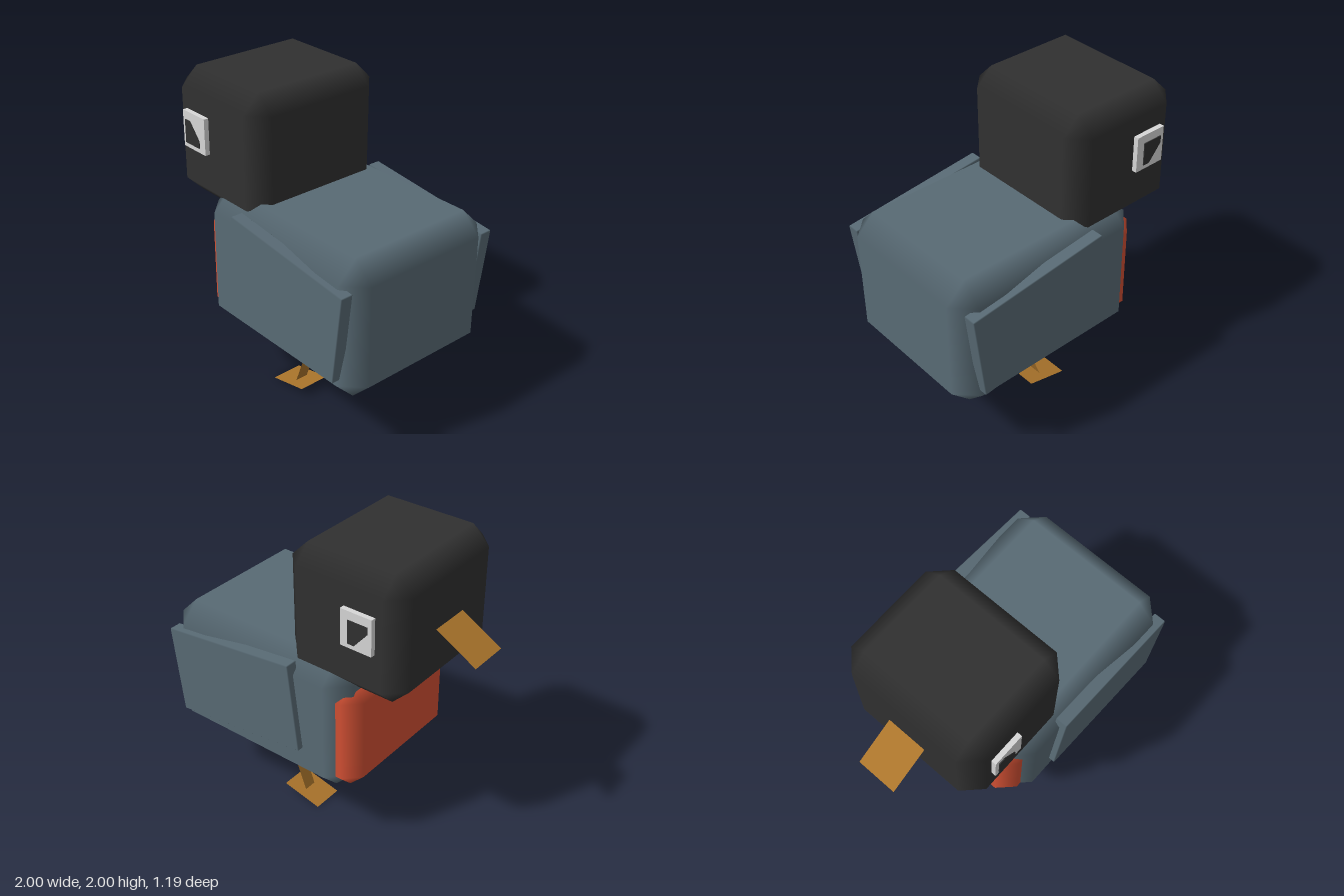
import * as THREE from 'three';

const mat = (name, color, side = THREE.FrontSide) =>
  Object.assign(new THREE.MeshStandardMaterial({ color, side }), { name });

// Box with bevelled edges: flat faces, normals blending smoothly across the bevels
function bevelBox(min, max, r) {
  const pos = [], nor = [], idx = [];
  for (let a = 0; a < 3; a++) {
    for (let bits = 0; bits < 8; bits++) {
      const n = [0, 0, 0];
      for (let k = 0; k < 3; k++) {
        const inset = k === a ? 0 : r;
        pos.push(bits >> k & 1 ? max[k] - inset : min[k] + inset);
      }
      n[a] = bits >> a & 1 ? 1 : -1;
      nor.push(...n);
    }
  }
  const point = i => new THREE.Vector3().fromArray(pos, i * 3);
  const centre = new THREE.Vector3(...min).add(new THREE.Vector3(...max)).multiplyScalar(0.5);
  // Adds a triangle wound to face away from the centre
  const tri = (i, j, k) => {
    const p = point(i);
    const n = point(j).sub(p).cross(point(k).sub(p));
    idx.push(...(n.dot(p.sub(centre)) > 0 ? [i, j, k] : [i, k, j]));
  };
  const quad = (i, j, k, l) => { tri(i, j, k); tri(i, k, l); };
  for (let a = 0; a < 3; a++) {
    const b = (a + 1) % 3, c = (a + 2) % 3;
    const A = 1 << a, B = 1 << b, C = 1 << c;
    for (const s of [0, A]) {
      quad(a * 8 + s, a * 8 + s + B, a * 8 + s + B + C, a * 8 + s + C);
      for (const t of [0, B]) {
        quad(a * 8 + s + t, a * 8 + s + t + C, b * 8 + s + t + C, b * 8 + s + t);
      }
    }
  }
  for (let bits = 0; bits < 8; bits++) tri(bits, 8 + bits, 16 + bits);
  const g = new THREE.BufferGeometry();
  g.setAttribute('position', new THREE.Float32BufferAttribute(pos, 3));
  g.setAttribute('normal', new THREE.Float32BufferAttribute(nor, 3));
  g.setIndex(idx);
  return g;
}

// Flat strip from (x0, y0) to (x1, y1), spread along z
function strip(x0, y0, x1, y1, width) {
  const g = new THREE.PlaneGeometry(Math.hypot(x1 - x0, y1 - y0), width);
  g.rotateX(-Math.PI / 2);
  g.rotateZ(Math.atan2(y1 - y0, x1 - x0));
  g.translate((x0 + x1) / 2, (y0 + y1) / 2, 0);
  return g;
}

export function createModel() {
  const model = new THREE.Group();
  model.name = 'bird';
  const slate = mat('slate feathers', 0x586a74);
  const black = mat('black feathers', 0x303030);
  const red = mat('red breast', 0xd04f33);
  const white = mat('eye white', 0xd6d6d6);
  const horn = mat('horn', 0xaa742b, THREE.DoubleSide);

  const add = (name, geometry, material, x = 0, y = 0, z = 0) => {
    const m = new THREE.Mesh(geometry, material);
    m.name = name;
    m.position.set(x, y, z);
    model.add(m);
    return m;
  };

  // Body, breast and head
  add('body', bevelBox([-0.375, 0.41, -0.555], [1, 1.33, 0.555], 0.13), slate);
  add('breast', bevelBox([-0.435, 0.44, -0.5], [0, 1.19, 0.5], 0.1), red);
  add('head', bevelBox([-0.73, 1.17, -0.49], [0.1, 2, 0.49], 0.115), black);

  // Beak slopes down to its tip
  add('beak', strip(-1, 1.425, -0.65, 1.625, 0.267), horn);

  // Pupil outline: a rectangle with one corner cut off
  const pupilShape = new THREE.Shape([
    [-0.0675, -0.075], [0.0675, -0.075], [0.0675, -0.03], [-0.022, 0.075], [-0.0675, 0.075],
  ].map(p => new THREE.Vector2(...p)));
  const pupil = new THREE.ExtrudeGeometry(pupilShape, { depth: 0.009, bevelEnabled: false });
  pupil.translate(0, 0, -0.0045);

  for (const s of [1, -1]) {
    const side = s > 0 ? 'front' : 'back';

    // Eyes
    add(side + 'EyeWhite', new THREE.BoxGeometry(0.215, 0.235, 0.05), white, -0.463, 1.647, s * 0.497);
    const p = add(side + 'Pupil', pupil, black, -0.4775, 1.635, s * 0.524);
    if (s < 0) p.rotation.z = Math.PI;

    // Wings, tilted down towards the tail
    const wing = add(side + 'Wing', bevelBox([-0.488, -0.297, -0.042], [0.488, 0.297, 0.042], 0.006),
      slate, 0.43, 0.93, s * 0.555);
    wing.rotation.z = -0.115;

    // Legs and feet
    add(side + 'Leg', strip(0.155, 0.034, 0.31, 0.46, 0.088), horn, 0, 0, s * 0.209);
    add(side + 'Foot', strip(0.005, 0, 0.28, 0.062, 0.207), horn, 0, 0, s * 0.209);
  }
  return model;
}
